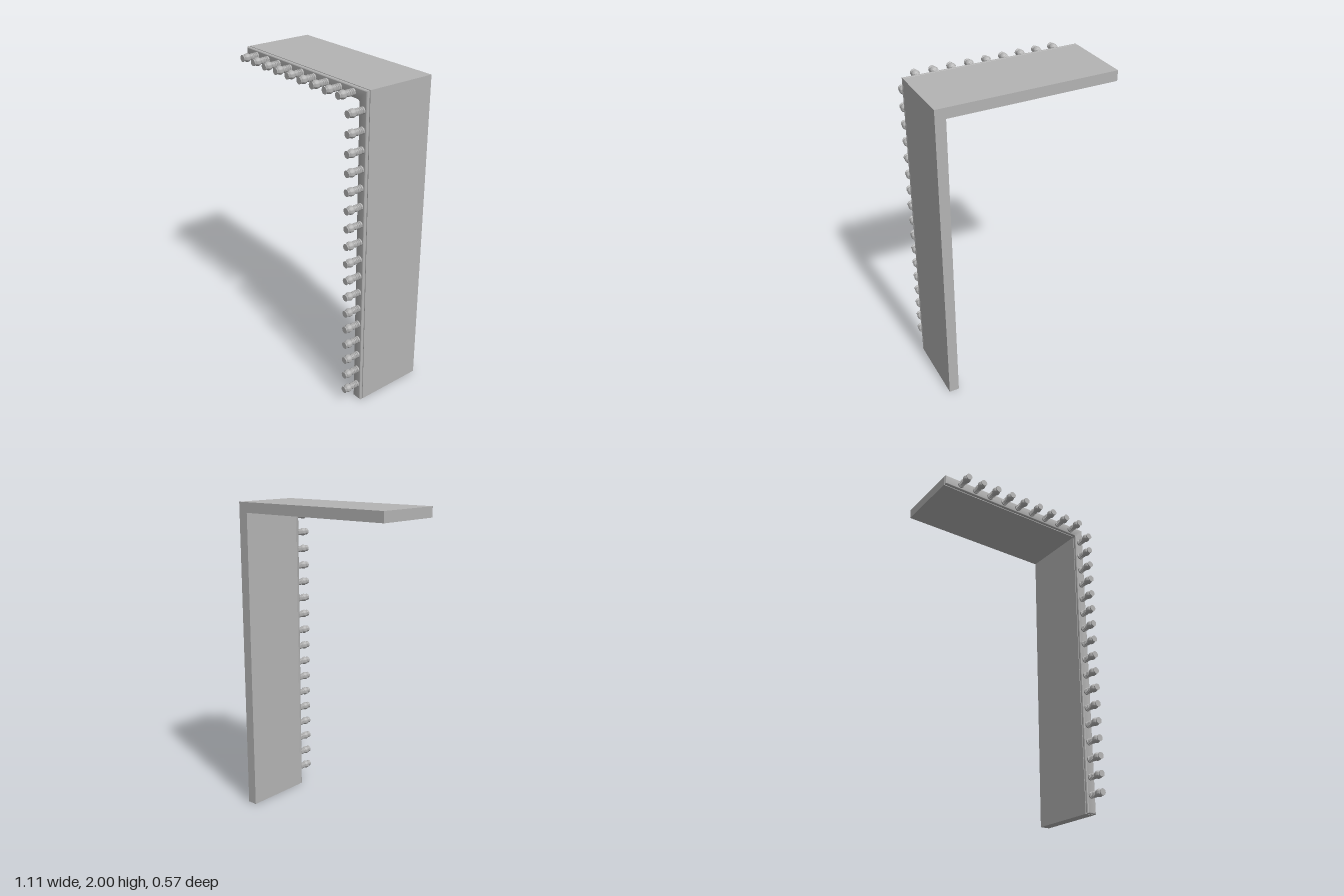
import * as THREE from 'three';
import { toCreasedNormals } from 'three/addons/utils/BufferGeometryUtils.js';

const W = 0.555, H = 2, T = 0.064;         // half width, height, board thickness
const BACK = -0.283, RAIL = 0.156, RAIL_FRONT = 0.178, TIP = 0.283;

// Upside-down L outline, with an optional fillet in the inner corner
function outline(fillet) {
  const s = new THREE.Shape();
  const ix = W - T, iy = H - T;
  s.moveTo(-W, H);
  s.lineTo(-W, iy);
  if (fillet) {
    s.lineTo(ix - fillet, iy);
    s.absarc(ix - fillet, iy - fillet, fillet, Math.PI / 2, 0, true);
  } else {
    s.lineTo(ix, iy);
  }
  s.lineTo(ix, 0);
  s.lineTo(W, 0);
  s.lineTo(W, H);
  s.closePath();
  return s;
}

// Turned spindle profile: base collar, three rings, ball and flared foot
function spindleGeometry() {
  const p = [[0, 0], [0.021, 0], [0.021, 0.008], [0.015, 0.011]];
  for (let i = 0; i < 3; i++) {
    const y = 0.012 + i * 0.012;
    p.push([0.016, y], [0.02, y + 0.003], [0.02, y + 0.007], [0.016, y + 0.01]);
  }
  p.push([0.015, 0.049]);
  for (let i = 0; i <= 10; i++) {
    const a = -0.95 + (i / 10) * 1.9;
    p.push([0.0255 * Math.cos(a), 0.072 + 0.0255 * Math.sin(a)]);
  }
  p.push([0.016, 0.096], [0.021, 0.101], [0.021, TIP - RAIL_FRONT], [0, TIP - RAIL_FRONT]);
  const g = new THREE.LatheGeometry(p.map(([r, y]) => new THREE.Vector2(r, y)), 24);
  g.rotateX(Math.PI / 2);
  return toCreasedNormals(g, 0.7);
}

export function createModel() {
  const model = new THREE.Group();
  model.name = 'spindleEdgedShelf';
  const grey = new THREE.MeshStandardMaterial({ color: 0xb4b4b4 });
  grey.name = 'plain grey';

  const add = (name, geometry, parent = model) => {
    const mesh = new THREE.Mesh(geometry, grey);
    mesh.name = name;
    parent.add(mesh);
    return mesh;
  };

  // Top board and upright in one piece
  const boards = new THREE.ExtrudeGeometry(outline(0), { depth: RAIL - BACK, bevelEnabled: false });
  boards.translate(0, 0, BACK);
  add('boards', boards);

  // Rounded rail along the front edge
  const bevel = 0.008;
  const rail = new THREE.ExtrudeGeometry(outline(0.015), {
    depth: RAIL_FRONT - RAIL - 2 * bevel, bevelThickness: bevel, bevelSize: bevel,
    bevelOffset: -bevel, bevelSegments: 4, curveSegments: 6,
  });
  rail.translate(0, 0, RAIL + bevel);
  add('frontRail', toCreasedNormals(rail, 0.6));

  // Spindles along the top and down the upright
  const spindle = spindleGeometry();
  const step = 1 / 9;
  const topRow = new THREE.Group();
  topRow.name = 'topSpindles';
  const sideRow = new THREE.Group();
  sideRow.name = 'uprightSpindles';
  model.add(topRow, sideRow);
  for (let i = -4; i <= 4; i++) {
    add('spindle', spindle, topRow).position.set(i * step, H - T / 2, RAIL_FRONT);
  }
  for (let i = 1; i <= 17; i++) {
    add('spindle', spindle, sideRow).position.set(W - T / 2, i * step, RAIL_FRONT);
  }
  return model;
}
